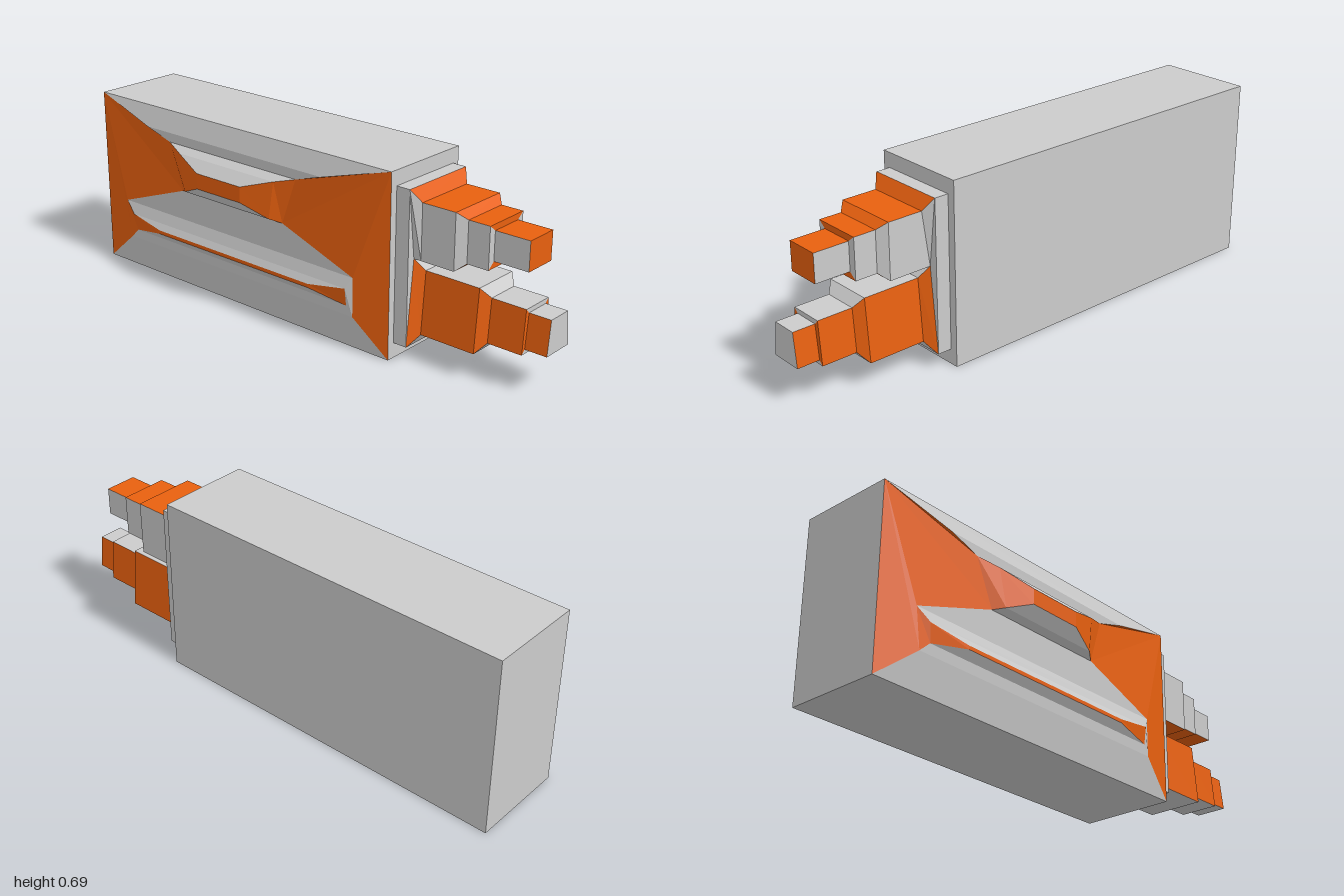
import * as THREE from 'three';

const GREY = 0xcccccc, ORANGE = 0xe8600f;

// Flat-shaded mesh from convex polygons (corners anticlockwise seen from outside)
function panel(name, color, polys) {
  const pos = [];
  for (const p of polys)
    for (let i = 1; i < p.length - 1; i++) pos.push(...p[0], ...p[i], ...p[i + 1]);
  const g = new THREE.BufferGeometry();
  g.setAttribute('position', new THREE.Float32BufferAttribute(pos, 3));
  g.computeVertexNormals();
  const m = new THREE.Mesh(g, new THREE.MeshStandardMaterial({ color, flatShading: true }));
  m.name = name;
  return m;
}

function box(name, x0, x1, y0, y1, z0, z1) {
  const m = new THREE.Mesh(new THREE.BoxGeometry(x1 - x0, y1 - y0, z1 - z0),
    new THREE.MeshStandardMaterial({ color: GREY, flatShading: true }));
  m.position.set((x0 + x1) / 2, (y0 + y1) / 2, (z0 + z1) / 2);
  m.name = name;
  return m;
}

// Quads joining two four-cornered rings: one per side
const band = (a, b) => a.map((p, i) => [p, a[(i + 1) % 4], b[(i + 1) % 4], b[i]]);

// Stepped prong along +x; sections are [x, top, bottom, half width at top, half width at bottom]
function prong(name, sections, levelColor, sideColor) {
  const zc = -0.043;
  const rings = sections.map(([x, t, b, wt, wb]) =>
    [[x, t, zc + wt], [x, b, zc + wb], [x, b, zc - wb], [x, t, zc - wt]]);
  const level = [], sides = [];
  for (let i = 0; i < rings.length - 1; i++)
    band(rings[i], rings[i + 1]).forEach((q, k) => (k % 2 ? level : sides).push(q));
  level.push(rings[rings.length - 1]); // end cap
  const g = new THREE.Group();
  g.name = name;
  g.add(panel(name + 'TopBottom', levelColor, level), panel(name + 'Sides', sideColor, sides));
  return g;
}

// Four corners, anticlockwise from top left
const ring = (y1, y0, z1, z0, xl1, xr1, xl0 = xl1, xr0 = xr1) =>
  [[xl1, y1, z1], [xl0, y0, z0], [xr0, y0, z0], [xr1, y1, z1]];

// Raised bar: rings from base to crest, coloured ends and crest
function raised(name, rings) {
  const grey = [], orange = [rings[rings.length - 1]];
  for (let i = 0; i < rings.length - 1; i++)
    band(rings[i], rings[i + 1]).forEach((q, k) => (k % 2 ? grey : orange).push(q));
  const g = new THREE.Group();
  g.name = name;
  g.add(panel(name + 'TopBottom', GREY, grey), panel(name + 'Ends', ORANGE, orange));
  return g;
}

export function createModel() {
  const model = new THREE.Group();
  model.name = 'steppedBlock';

  // Main block and the collar on its left end
  model.add(box('body', -1, 0.445, 0, 0.688, -0.23, 0.141));
  model.add(box('collar', 0.44, 0.5, 0.057, 0.632, -0.2, 0.112));

  // Two stepped prongs
  model.add(prong('upperProng', [
    [0.5, 0.632, 0.377, 0.156, 0.124], [0.53, 0.585, 0.377, 0.124, 0.124],
    [0.665, 0.585, 0.377, 0.124, 0.124], [0.695, 0.558, 0.403, 0.094, 0.094],
    [0.78, 0.558, 0.403, 0.094, 0.094], [0.78, 0.535, 0.427, 0.065, 0.065],
    [0.915, 0.535, 0.427, 0.065, 0.065]], ORANGE, GREY));
  model.add(prong('lowerProng', [
    [0.5, 0.377, 0.057, 0.124, 0.156], [0.53, 0.333, 0.1, 0.094, 0.114],
    [0.75, 0.333, 0.1, 0.094, 0.114], [0.78, 0.297, 0.137, 0.065, 0.079],
    [0.915, 0.297, 0.137, 0.065, 0.079], [0.915, 0.28, 0.153, 0.049, 0.063],
    [1, 0.28, 0.153, 0.049, 0.063]], GREY, ORANGE));

  // Key corners of the front relief
  const [a3, a0, a1, a2] = ring(0.688, 0, 0.141, 0.141, -1, 0.445);
  const t0 = [-0.72, 0.61, 0.167], t1 = [0.16, 0.61, 0.167];
  const upper = ring(0.573, 0.396, 0.165, 0.17, -0.6, 0.04, -0.53, -0.02);
  const [u0, u3, u2, u1] = upper;
  const lower = ring(0.278, 0.13, 0.167, 0.167, -0.86, 0.305, -0.84, 0.305);
  const [l0, l3, l2, l1] = lower;
  const lip = ring(0.235, 0.168, 0.18, 0.171, -0.81, 0.28, -0.8, 0.28);

  // Sloping front faces around the raised bars
  const [lipLeft, lipBottom, lipRight, lipTop] = band(lower, lip);
  model.add(panel('frontSlopes', GREY, [
    [a3, t0, t1, a2], [t0, u0, u1, t1], [u3, l0, l1, u2], [a0, a1, l2, l3],
    lipBottom, lipRight, lipTop]));
  model.add(panel('frontSides', ORANGE, [
    [a3, a0, l3, l0, u3, u0, t0], [a2, t1, u1, u2, l1, l2, a1], lipLeft]));

  // Raised bars
  model.add(raised('upperBar', [upper,
    ring(0.553, 0.41, 0.193, 0.198, -0.52, -0.04, -0.49, -0.06),
    ring(0.513, 0.453, 0.23, 0.23, -0.39, -0.17)]));
  model.add(raised('lowerBar', [lip,
    ring(0.21, 0.196, 0.192, 0.192, -0.65, 0.12)]));

  return model;
}
